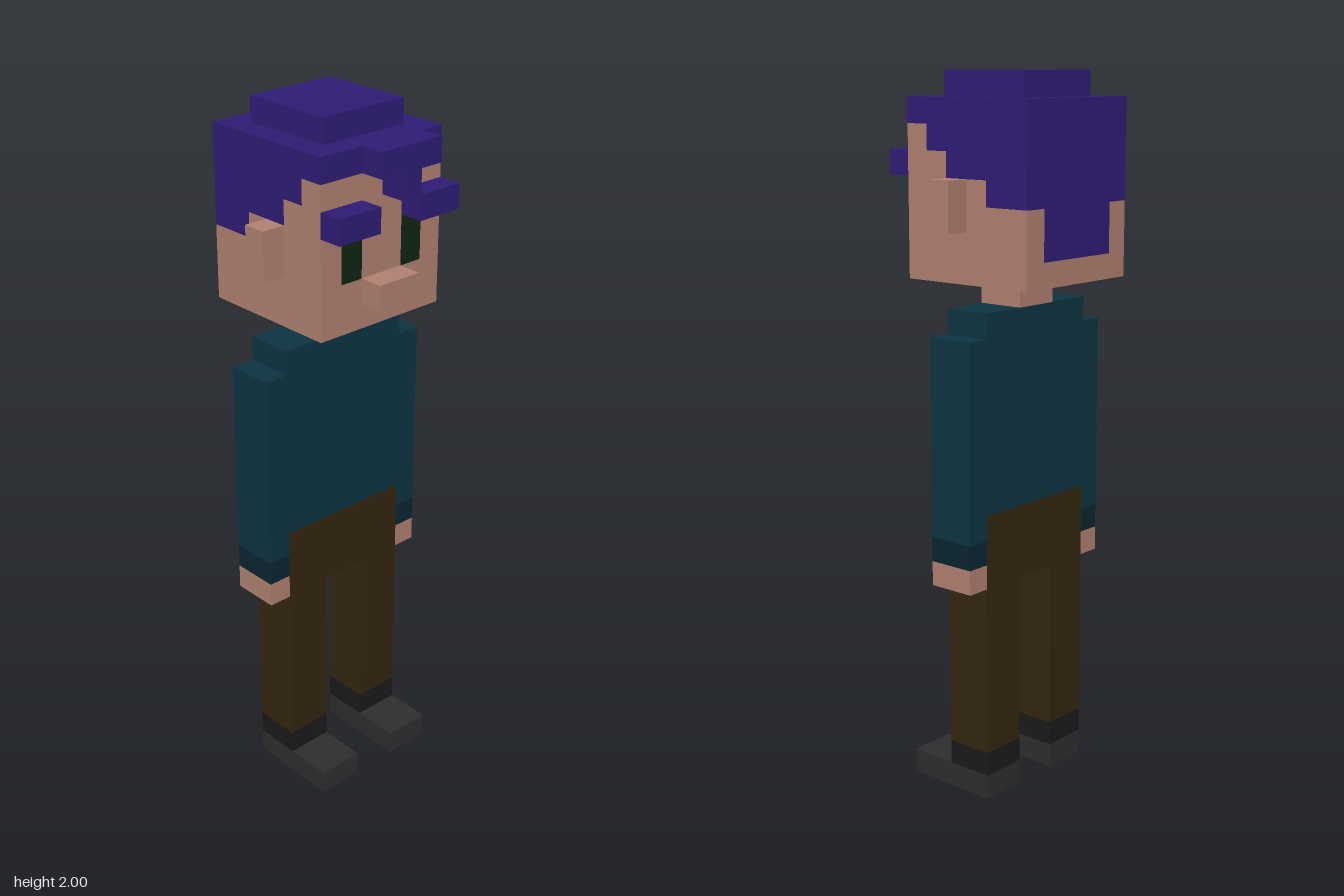
import * as THREE from 'three';

const U = 2 / 29; // one voxel: the figure is 29 voxels tall
const X0 = -3.5;  // voxel column 0 starts here

const mat = (color) => new THREE.MeshStandardMaterial({ color });
const M = {
  hair: mat(0x2f1c75), skin: mat(0xb08070), sweater: mat(0x0d3342), cuff: mat(0x0a2530),
  trousers: mat(0x33260f), sock: mat(0x1a1a1a), shoe: mat(0x2e2e2e), eye: mat(0x0f2412),
};

export function createModel() {
  const model = new THREE.Group();
  model.name = 'blockyFigure';

  // Box between voxel limits: x counted from the back, y from the ground, z from the middle
  const box = (name, material, [x0, x1], [y0, y1], [z0, z1]) => {
    const geo = new THREE.BoxGeometry((x1 - x0) * U, (y1 - y0) * U, (z1 - z0) * U);
    const mesh = new THREE.Mesh(geo, material);
    mesh.position.set((X0 + (x0 + x1) / 2) * U, ((y0 + y1) / 2) * U, ((z0 + z1) / 2) * U);
    mesh.name = name;
    model.add(mesh);
  };
  // Same box on both sides of the body
  const pair = (name, material, xs, ys, [z0, z1]) => {
    box(name + 'Left', material, xs, ys, [-z1, -z0]);
    box(name + 'Right', material, xs, ys, [z0, z1]);
  };
  // Side silhouette extruded across the full head width
  const slab = (name, material, points) => {
    const shape = new THREE.Shape(points.map(([x, y]) => new THREE.Vector2((X0 + x) * U, y * U)));
    const geo = new THREE.ExtrudeGeometry(shape, { depth: 6 * U, bevelEnabled: false });
    const mesh = new THREE.Mesh(geo.translate(0, 0, -3 * U), material);
    mesh.name = name;
    model.add(mesh);
  };

  // Legs and feet
  pair('shoe', M.shoe, [2, 6], [0, 1], [1, 3]);
  pair('sock', M.sock, [2, 4], [1, 2], [1, 3]);
  pair('trouserLeg', M.trousers, [2, 4], [2, 9], [1, 3]);
  box('hips', M.trousers, [2, 4], [9, 12], [-3, 3]);

  // Torso and arms
  box('torso', M.sweater, [2, 4], [12, 20], [-3, 3]);
  pair('sleeve', M.sweater, [2, 4], [11, 19], [3, 4]);
  pair('cuff', M.cuff, [2, 4], [10, 11], [3, 4]);
  pair('hand', M.skin, [2, 4], [9, 10], [3, 4]);
  box('neck', M.skin, [2, 4], [20, 21], [-1, 1]);

  // Head: skin and hair meet along a stepped hairline
  const hairline = [[0, 24], [2, 24], [2, 25], [4, 25], [4, 26], [5, 26], [5, 27], [6, 27]];
  slab('head', M.skin, [[0, 21], [6, 21], ...[...hairline].reverse()]);
  slab('hair', M.hair, [...hairline, [6, 28], [0, 28]]);
  box('hairTop', M.hair, [1, 5], [28, 29], [-2, 2]);
  box('napeHair', M.hair, [-0.01, 1], [22, 24], [-2, 2]);
  box('fringe', M.hair, [6, 7], [27, 28], [-2, 1]);
  box('fringeLock', M.hair, [6, 7], [26, 27], [-1, 0]);

  // Face
  pair('eyebrow', M.hair, [6, 7], [25, 26], [1, 3]);
  pair('eye', M.eye, [5, 6.01], [23, 25], [1, 2]);
  box('nose', M.skin, [6, 7], [22, 23], [-1, 1]);
  pair('ear', M.skin, [3, 4], [23, 25], [3, 4]);

  return model;
}
